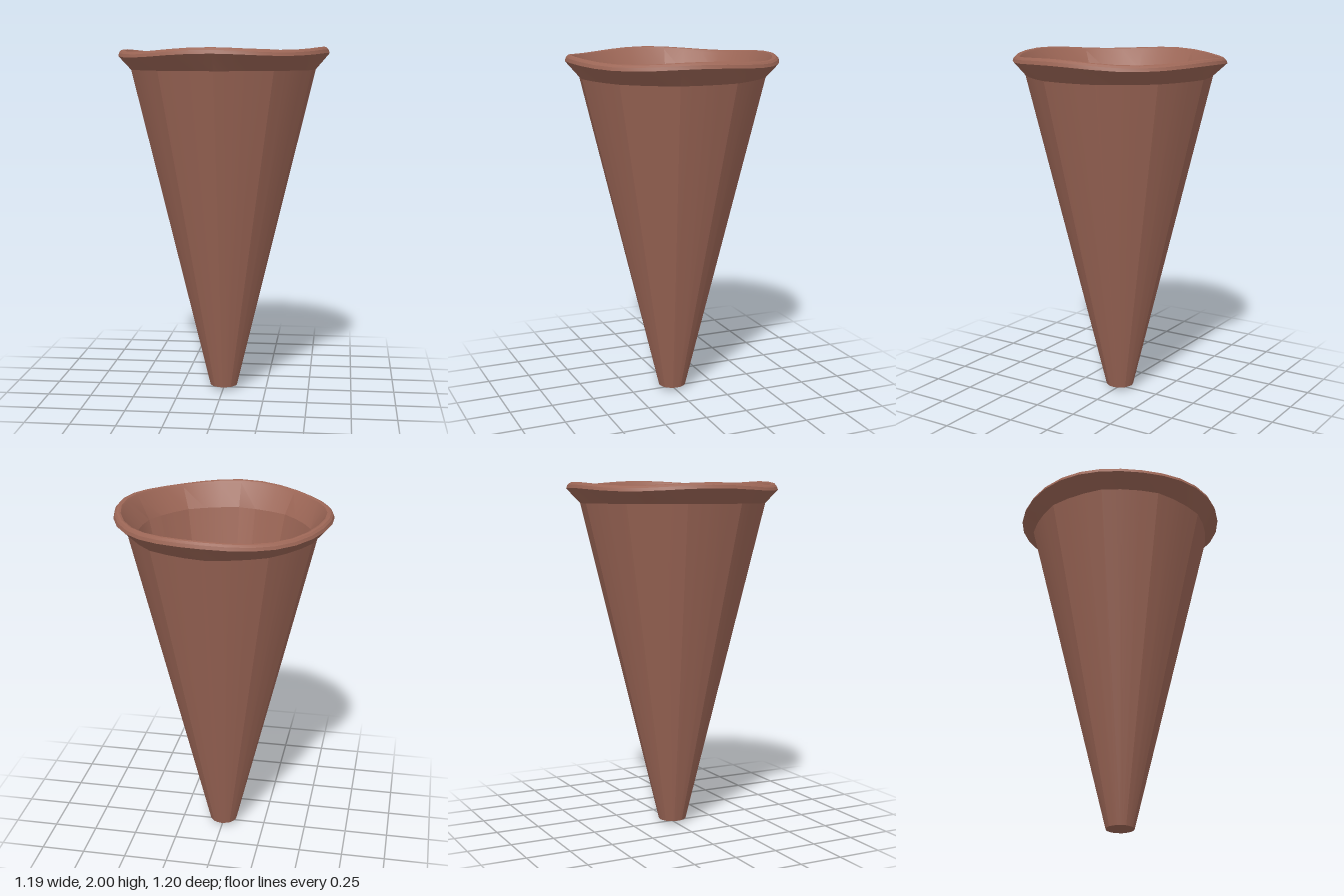
import * as THREE from 'three';
import { toCreasedNormals } from 'three/addons/utils/BufferGeometryUtils.js';

const SEGMENTS = 30;
const SIDE = Math.PI / 5; // ten soft facets around the cone
const FACETING = 0.35; // 0 = round, 1 = true ten-sided polygon

// Cross-section: tip, outer wall, flared lip, rolled rim, inner wall, floor
const PROFILE = [
  [0, 0], [0.08, 0.02],
  [0.53, 1.87], [0.6, 1.95],
  [0.594, 1.968], [0.583, 1.979], [0.572, 1.982], [0.56, 1.978], [0.551, 1.966],
  [0.483, 1.85], [0.04, 0.07], [0, 0.07],
];

// Uneven height of the rim around the mouth
const wave = (a) => 0.008 * Math.cos(a - 0.52) + 0.009 * Math.cos(4 * (a - 0.09));

export function createModel() {
  const group = new THREE.Group();
  group.name = 'hollowCone';

  const points = PROFILE.map(([r, y]) => new THREE.Vector2(r, y));
  const geometry = new THREE.LatheGeometry(points, SEGMENTS);
  const pos = geometry.attributes.position;

  for (let i = 0; i < pos.count; i++) {
    const x = pos.getX(i), y = pos.getY(i), z = pos.getZ(i);
    const phi = Math.atan2(x, z) + Math.PI * 2;

    // Pull the walls towards a ten-sided outline, keeping the rim round
    const local = (phi % SIDE) - SIDE / 2;
    const flat = Math.cos(SIDE / 2) / Math.cos(local);
    const k = y < 1.9 ? 1 + FACETING * (flat - 1) : 1;

    // Lift and lower the rim
    const lift = THREE.MathUtils.smoothstep(y, 1.87, 1.97) * wave(Math.atan2(z, x));
    pos.setXYZ(i, x * k, y + lift, z * k);
  }

  const material = new THREE.MeshStandardMaterial({ color: 0x9c6656 });
  const shell = new THREE.Mesh(toCreasedNormals(geometry, 0.25), material);
  shell.name = 'coneShell';
  group.add(shell);

  return group;
}
